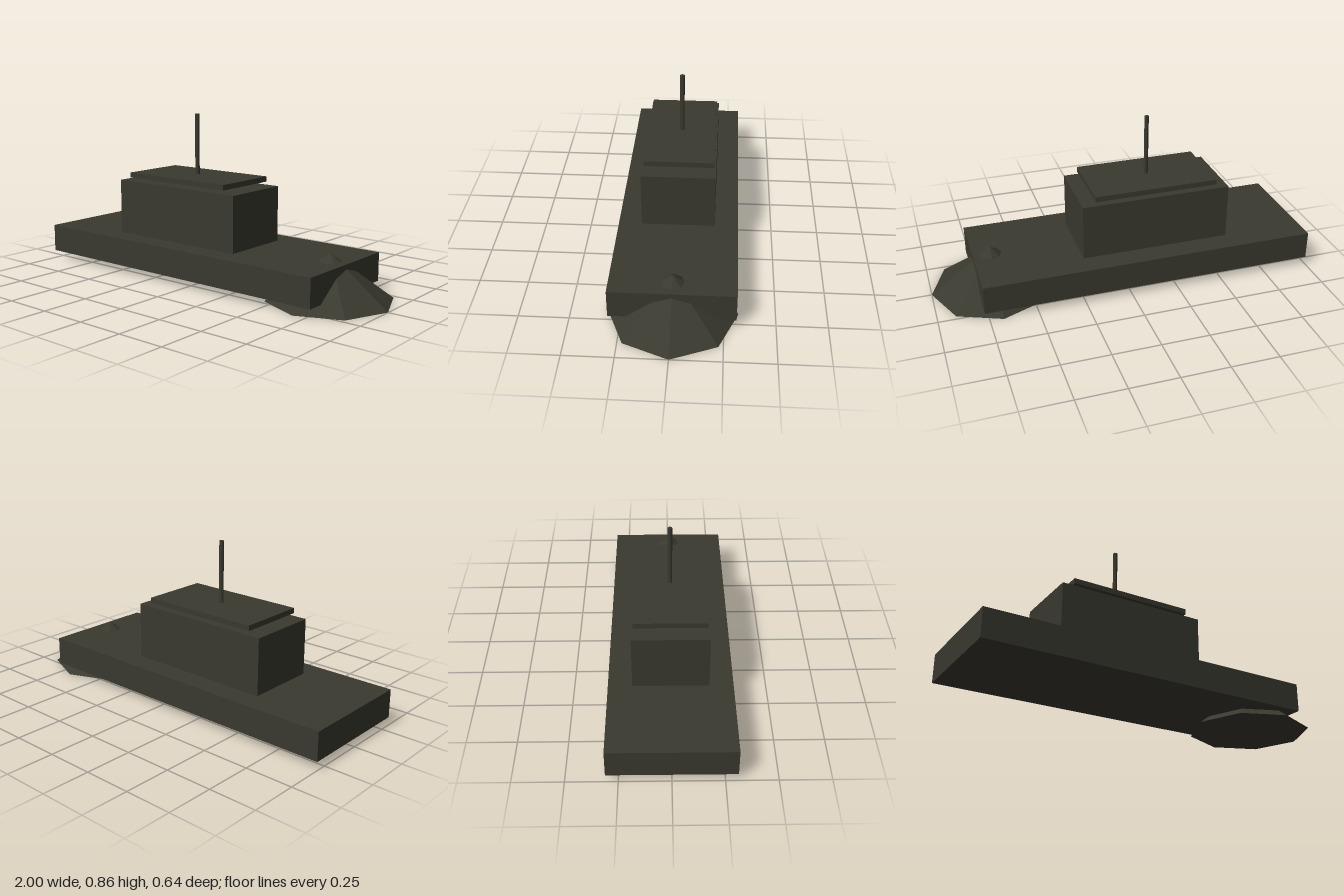
import * as THREE from 'three';

export function createModel() {
  const model = new THREE.Group();
  const darkOlive = new THREE.MeshStandardMaterial({ color: 0x3a392f });
  darkOlive.name = 'darkOlive';
  darkOlive.flatShading = true;

  const add = (name, geometry, x, y, z = 0) => {
    const mesh = new THREE.Mesh(geometry, darkOlive);
    mesh.name = name;
    mesh.position.set(x, y, z);
    model.add(mesh);
    return mesh;
  };

  // box given by its x and y limits and its depth, centred on z = 0
  const block = (name, x0, x1, y0, y1, depth) =>
    add(name, new THREE.BoxGeometry(x1 - x0, y1 - y0, depth), (x0 + x1) / 2, (y0 + y1) / 2);

  block('hull', -1, 0.772, 0.044, 0.193, 0.62);
  block('cabin', -0.565, 0.227, 0.193, 0.488, 0.38);
  // roof plate floats just above the cabin
  block('roof', -0.498, 0.157, 0.506, 0.534, 0.362);

  // mast
  add('mast', new THREE.CylinderGeometry(0.012, 0.012, 0.324, 8), -0.17, 0.699);

  // eight-sided bow cone, its tip poking through the deck
  add('bow', new THREE.ConeGeometry(0.32, 0.236, 8), 0.68, 0.118);

  return model;
}
